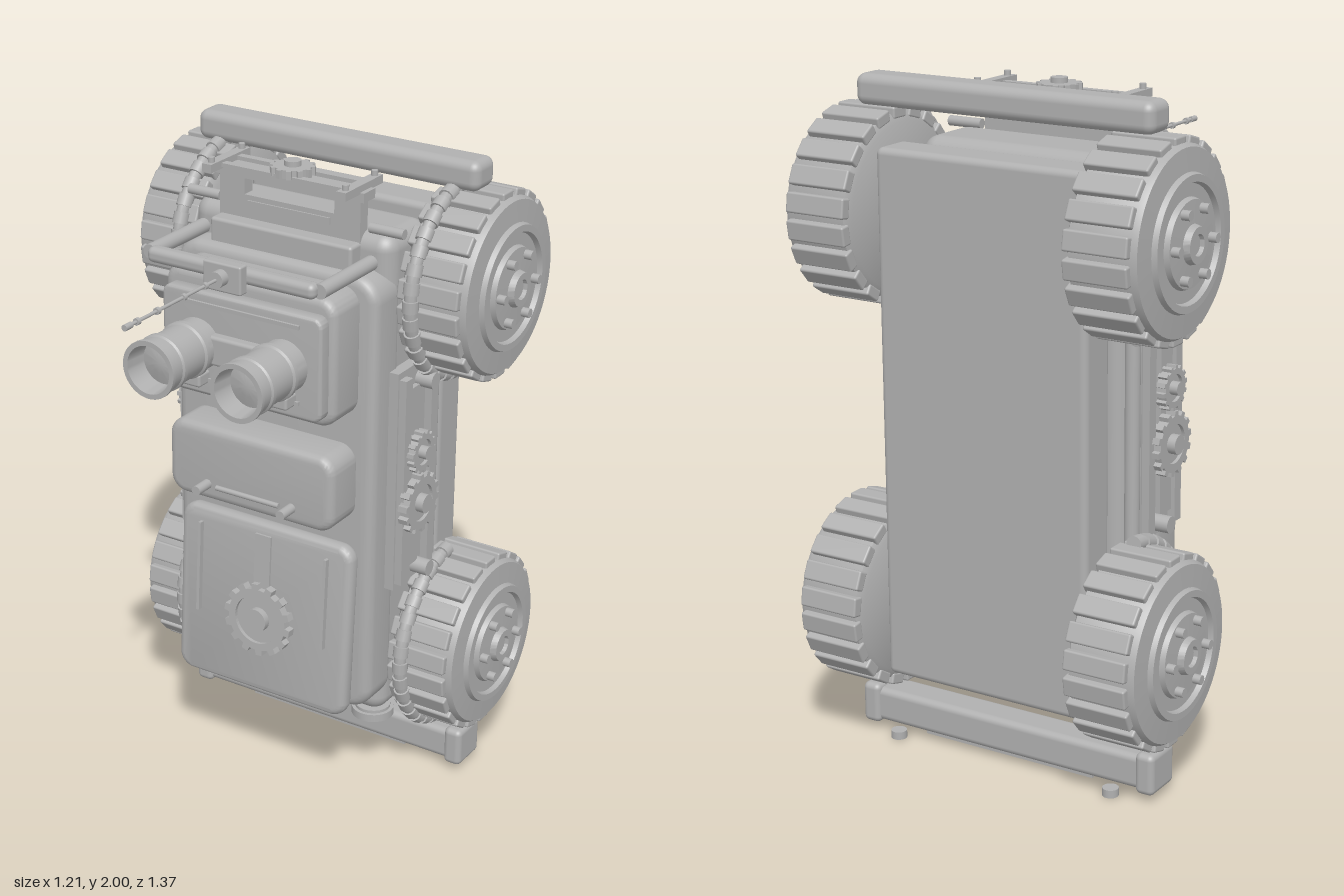
import * as THREE from 'three';
import { toCreasedNormals } from 'three/addons/utils/BufferGeometryUtils.js';
import { RoundedBoxGeometry } from 'three/addons/geometries/RoundedBoxGeometry.js';

const grey = new THREE.MeshStandardMaterial({ color: 0xb0b0b0 });
grey.name = 'plain grey';
const PI = Math.PI;

export function createModel() {
  const root = new THREE.Group();
  root.name = 'rover';

  const add = (name, geo, x = 0, y = 0, z = 0, parent = root) => {
    const m = new THREE.Mesh(geo, grey);
    m.name = name;
    m.position.set(x, y, z);
    parent.add(m);
    return m;
  };
  // Box given by its extents
  const box = (name, x0, x1, y0, y1, z0, z1, r = 0, parent = root) => {
    const w = x1 - x0, h = y1 - y0, d = z1 - z0;
    const g = r ? new RoundedBoxGeometry(w, h, d, 4, r) : new THREE.BoxGeometry(w, h, d);
    return add(name, g, (x0 + x1) / 2, (y0 + y1) / 2, (z0 + z1) / 2, parent);
  };
  const turn = (g, axis) => axis === 'x' ? g.rotateZ(-PI / 2) : axis === 'z' ? g.rotateX(PI / 2) : g;
  const rod = (name, axis, r, len, x, y, z, parent = root) =>
    add(name, turn(new THREE.CylinderGeometry(r, r, len, 20), axis), x, y, z, parent);
  const lathe = (pts, axis, seg = 48) => turn(toCreasedNormals(
    new THREE.LatheGeometry(pts.map(p => new THREE.Vector2(...p)), seg), 0.6), axis);

  // Rounded slab facing +z, from 0 to depth, with softened edges
  const slab = (w, h, d, r, bevel) => {
    const s = new THREE.Shape(), a = w / 2 - bevel, b = h / 2 - bevel;
    s.moveTo(a, b - r);
    s.absarc(a - r, b - r, r, 0, PI / 2);
    s.absarc(r - a, b - r, r, PI / 2, PI);
    s.absarc(r - a, r - b, r, PI, PI * 1.5);
    s.absarc(a - r, r - b, r, PI * 1.5, PI * 2);
    const g = new THREE.ExtrudeGeometry(s, { depth: d - 2 * bevel, bevelThickness: bevel,
      bevelSize: bevel, bevelSegments: 4, curveSegments: 6 });
    return toCreasedNormals(g.translate(0, 0, bevel), 0.7);
  };

  // Toothed wheel facing +z, with an optional hole
  const gear = (r, d, n, hole = 0) => {
    const s = new THREE.Shape();
    for (let i = 0; i < n; i++) {
      [[0, 0.86], [0.45, 0.86], [0.52, 1], [0.93, 1]].forEach(([t, k], j) => {
        const a = (i + t) / n * PI * 2, x = Math.cos(a) * r * k, y = Math.sin(a) * r * k;
        if (i + j) s.lineTo(x, y); else s.moveTo(x, y);
      });
    }
    if (hole) s.holes.push(new THREE.Path().absarc(0, 0, hole, 0, PI * 2, true));
    return new THREE.ExtrudeGeometry(s, { depth: d, bevelEnabled: false, curveSegments: 24 });
  };

  // Hull: front shell, core and separate back slab
  add('frontShell', slab(0.69, 1.40, 0.14, 0.05, 0.03), 0, 1.02, -0.16);
  box('core', -0.34, 0.34, 0.27, 1.82, -0.335, -0.10, 0.05);
  box('backSlab', -0.34, 0.34, 0.25, 1.82, -0.54, -0.41, 0.02);

  // Head with eye tubes
  add('head', slab(0.58, 0.39, 0.15, 0.03, 0.025), 0, 1.495, -0.04);
  add('facePlate', slab(0.54, 0.315, 0.05, 0.02, 0.01), 0, 1.487, 0.10);
  for (const y of [1.38, 1.61]) box('faceTrim', -0.2, 0.2, y - 0.006, y + 0.006, 0.14, 0.158);
  box('eyeBridge', -0.2, 0.2, 1.44, 1.53, 0.14, 0.18, 0.01);
  const eye = [[0, 0], [0.078, 0], [0.078, 0.06], [0.085, 0.065], [0.085, 0.08], [0.079, 0.085],
    [0.079, 0.17], [0.085, 0.175], [0.085, 0.19], [0.08, 0.195], [0.08, 0.235], [0.087, 0.238],
    [0.087, 0.25], [0.072, 0.25], [0.066, 0.18], [0.03, 0.19], [0, 0.195]];
  for (const s of [-1, 1]) {
    add('eyeTube', lathe(eye, 'z'), s * 0.148, 1.485, 0.14);
    box('eyeFoot', s * 0.148 - 0.04, s * 0.148 + 0.04, 1.37, 1.41, 0.14, 0.2, 0.008);
  }

  // Middle compartment with its handle
  add('chestBox', slab(0.575, 0.24, 0.15, 0.03, 0.025), 0, 1.085, -0.04);
  rod('chestHandle', 'x', 0.008, 0.22, 0, 1.02, 0.118);
  for (const s of [-1, 1]) rod('chestPeg', 'z', 0.015, 0.08, s * 0.148, 1.02, 0.13);

  // Tilted lower hatch with a gear dial
  const hatch = new THREE.Group();
  hatch.name = 'hatch';
  hatch.position.set(0, 0.605, 0.015);
  hatch.rotation.x = -0.06;
  root.add(hatch);
  add('hatchPanel', slab(0.61, 0.565, 0.055, 0.03, 0.022), 0, 0, -0.027, hatch);
  box('hatchStrip', -0.028, 0.028, 0.04, 0.25, 0.02, 0.036, 0, hatch);
  for (const s of [-1, 1]) box('hatchRib', s * 0.225 - 0.005, s * 0.225 + 0.005, -0.06, 0.235, 0.02, 0.045, 0, hatch);
  add('dialGear', gear(0.118, 0.03, 14, 0.078), 0, -0.025, 0.025, hatch);
  rod('dialPlate', 'z', 0.08, 0.02, 0, -0.025, 0.033, hatch);
  rod('dialHub', 'z', 0.038, 0.05, 0, -0.025, 0.04, hatch);

  // Bumpers, feet and lower fittings
  box('topBumper', -0.48, 0.48, 1.91, 2.0, -0.44, -0.33, 0.028);
  box('bottomBumper', -0.47, 0.47, 0.03, 0.135, -0.44, -0.33, 0.02);
  box('bumperPlate', -0.29, 0.29, 0.018, 0.035, -0.42, -0.35);
  for (const s of [-1, 1]) {
    box('bumperCap', s * 0.475 - 0.03, s * 0.475 + 0.03, 0.022, 0.148, -0.45, -0.32, 0.018);
    rod('foot', 'y', 0.024, 0.024, s * 0.37, 0.012, -0.452);
    rod('lowerDisc', 'y', 0.066, 0.025, s * 0.262, 0.228, -0.19);
    rod('lowerDiscRim', 'y', 0.055, 0.04, s * 0.262, 0.23, -0.19);
  }
  box('lowerPlate', -0.18, 0.18, 0.22, 0.247, -0.22, -0.15, 0.01);
  add('lowerGear', gear(0.08, 0.04, 14).rotateX(PI / 2), 0, 0.32, -0.13);

  // Upright panel with a window and slots, carrying the roof rack
  for (const s of [-1, 1]) {
    box('rackPost', s * 0.195 - 0.043, s * 0.195 + 0.043, 1.72, 1.925, -0.14, -0.10);
    box('rackRail', s * 0.225 - 0.016, s * 0.225 + 0.016, 1.935, 1.96, -0.215, 0.02 - 0.035);
    for (const z of [-0.195, -0.04]) rod('rackBolt', 'y', 0.01, 0.04, s * 0.225, 1.955, z);
    rod('sidePeg', 'x', 0.015, 0.11, s * 0.31, 1.83, -0.13);
  }
  box('rackPanel', -0.155, 0.155, 1.72, 1.86, -0.14, -0.10);
  box('rackSlotTrim', -0.14, 0.14, 1.825, 1.845, -0.105, -0.095);
  box('rackTop', -0.255, 0.255, 1.912, 1.94, -0.15, -0.09);
  for (const z of [-0.16, -0.08]) box('rackBar', -0.24, 0.24, 1.94, 1.952, z - 0.012, z + 0.012);
  add('rackGear', gear(0.066, 0.025, 12).rotateX(-PI / 2), 0, 1.945, -0.12);
  rod('rackGearHub', 'y', 0.025, 0.045, 0, 1.963, -0.12);

  // Push bar with antenna
  box('barMount', -0.24, 0.24, 1.70, 1.79, -0.12, -0.05, 0.01);
  for (const s of [-1, 1]) rod('barArm', 'z', 0.022, 0.27, s * 0.285, 1.745, 0.05);
  add('crossBar', new RoundedBoxGeometry(0.56, 0.046, 0.046, 4, 0.018), 0, 1.745, 0.188);
  box('antennaMount', -0.063, 0.063, 1.70, 1.785, 0.205, 0.24, 0.006);
  rod('antennaSocket', 'z', 0.024, 0.04, 0, 1.745, 0.25);
  rod('antenna', 'z', 0.005, 0.42, 0, 1.745, 0.475);
  for (const z of [0.32, 0.42, 0.54, 0.63]) rod('antennaBead', 'z', 0.01, 0.012, 0, 1.745, z);
  rod('antennaTip', 'z', 0.009, 0.03, 0, 1.745, 0.672);

  // Side panels with rails and a pair of gears
  for (const s of [-1, 1]) {
    const side = (name, x0, x1, y0, y1, z0, z1) =>
      box(name, Math.min(s * x0, s * x1), Math.max(s * x0, s * x1), y0, y1, z0, z1);
    side('sidePanel', 0.32, 0.375, 0.72, 1.42, -0.30, -0.10);
    side('sideStrip', 0.37, 0.39, 0.78, 1.36, -0.215, -0.15);
    for (const z of [-0.125, -0.275]) side('sideRail', 0.37, 0.398, 0.74, 1.40, z - 0.018, z + 0.018);
    rod('rearPipe', 'y', 0.022, 0.9, s * 0.36, 1.06, -0.322);
    for (const [y, r] of [[1.155, 0.066], [0.99, 0.096]]) {
      add('sideGear', gear(r, 0.03, 14, r * 0.6).rotateY(PI / 2), s * 0.405 - 0.015, y, -0.185);
      rod('sideGearPlate', 'x', r * 0.62, 0.02, s * 0.40, y, -0.185);
      rod('sideGearHub', 'x', r * 0.3, 0.06, s * 0.405, y, -0.185);
    }
    for (const y of [0.76, 1.37]) rod('sideStud', 'x', 0.025, 0.1, s * 0.38, y, -0.22);
  }

  // Wheels with tread blocks, hub bolts and segmented guards
  const tyre = [[0, 0.345], [0.24, 0.345], [0.264, 0.36], [0.264, 0.545], [0.255, 0.56], [0.19, 0.565],
    [0.185, 0.58], [0.165, 0.58], [0.16, 0.565], [0.125, 0.565], [0.12, 0.58], [0.055, 0.583],
    [0.05, 0.602], [0.03, 0.602], [0.028, 0.59], [0, 0.59]];
  const arc = new THREE.CatmullRomCurve3([...Array(17).keys()].map(i => {
    const a = (i / 16 - 0.5) * PI * 0.92;
    return new THREE.Vector3(0, Math.sin(a) * 0.288, Math.cos(a) * 0.288);
  }));
  const treads = 22, guardRings = 16;
  for (const s of [-1, 1]) for (const y of [0.46, 1.63]) {
    const wheel = new THREE.Group();
    wheel.name = 'wheel';
    wheel.position.set(0, y, -0.4);
    if (s < 0) wheel.rotation.y = PI;
    root.add(wheel);
    add('tyre', lathe(tyre, 'x', 64), 0, 0, 0, wheel);
    for (let i = 0; i < treads; i++) {
      const g = new RoundedBoxGeometry(0.195, 0.034, 0.058, 2, 0.006);
      g.translate(0.447, 0.266, 0).rotateX(i / treads * PI * 2);
      add('tread', g, 0, 0, 0, wheel);
    }
    for (let i = 0; i < 6; i++) {
      const a = i / 6 * PI * 2;
      rod('wheelBolt', 'x', 0.014, 0.05, 0.58, Math.sin(a) * 0.102, Math.cos(a) * 0.102, wheel);
    }
    add('wheelGuard', new THREE.TubeGeometry(arc, 48, 0.019, 10), s * 0.4, y, -0.4);
    for (let i = 0; i <= guardRings; i++) {
      const a = (i / guardRings - 0.5) * PI * 0.92;
      const g = new THREE.CylinderGeometry(0.024, 0.024, 0.034, 12).translate(0, 0, 0.288).rotateX(-a);
      add('guardSegment', g, s * 0.4, y, -0.4);
    }
  }
  return root;
}
